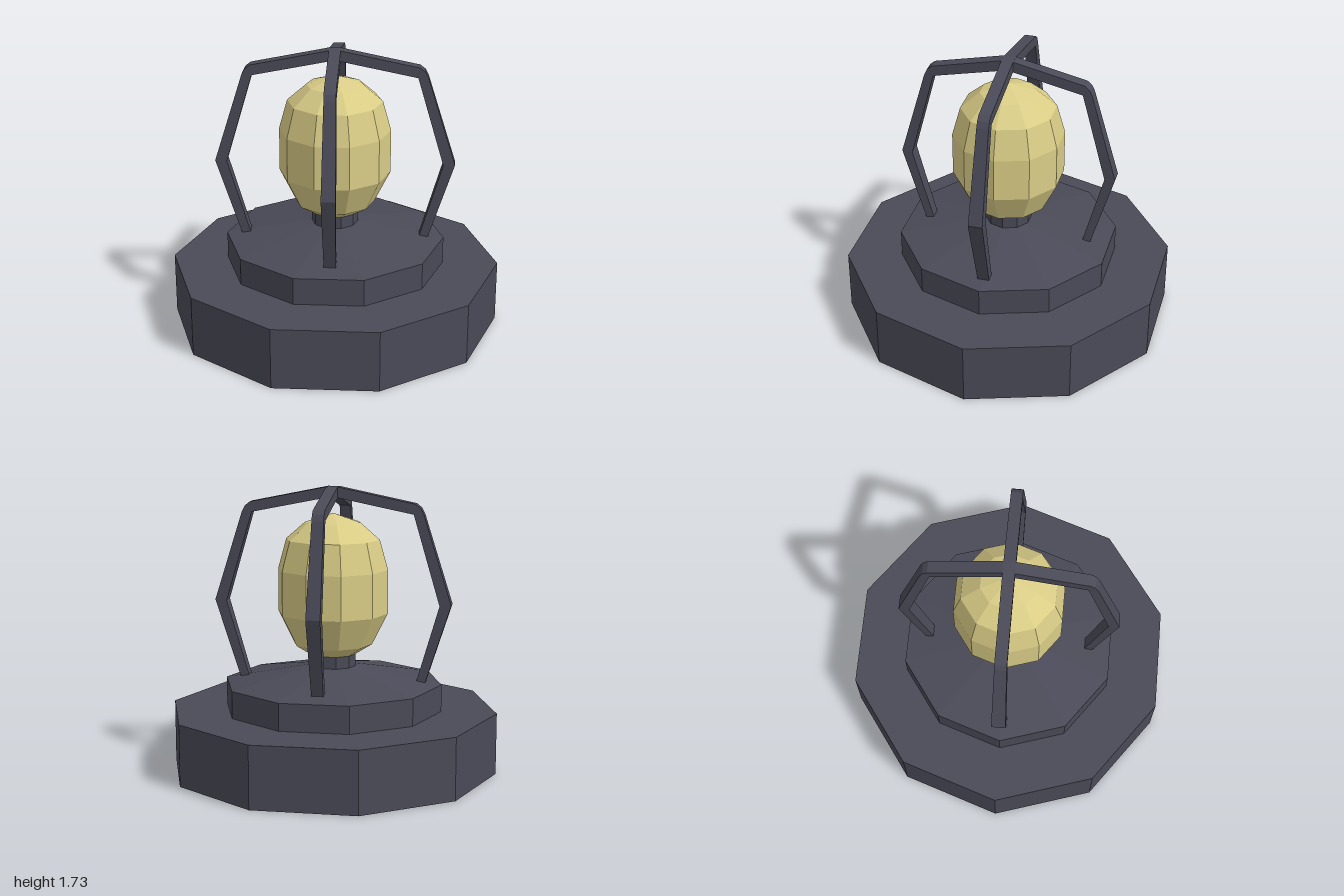
import * as THREE from 'three';

const dark = new THREE.MeshStandardMaterial({ color: 0x4a4a58, flatShading: true });
const yellow = new THREE.MeshStandardMaterial({ color: 0xd9cc86, flatShading: true });

// Ten-sided turned part from [radius, height] pairs, bottom to top, corners on +x and -x
function turned(name, profile, material) {
  const points = profile.map(([r, y]) => new THREE.Vector2(r, y));
  const mesh = new THREE.Mesh(new THREE.LatheGeometry(points, 10, Math.PI / 10), material);
  mesh.name = name;
  return mesh;
}

// Bent flat bar running over the bulb from one side of the base to the other
function cageArch(name) {
  const outer = [[0.565, 0.545], [0.72, 1.03], [0.55, 1.57], [0.532, 1.605], [0.5, 1.63], [0.035, 1.725]];
  const inner = [[0.035, 1.66], [0.49, 1.568], [0.65, 1.025], [0.51, 0.545]];
  const half = [...inner].reverse().slice(0, 3);
  const mirror = (list) => list.map(([x, y]) => [-x, y]);
  const outline = [
    ...outer, ...mirror(outer).reverse(),
    ...mirror(half), ...mirror([inner[0]]), ...inner.slice(0, 4),
  ];
  const shape = new THREE.Shape(outline.map(([x, y]) => new THREE.Vector2(x, y)));
  const geometry = new THREE.ExtrudeGeometry(shape, { depth: 0.07, bevelEnabled: false });
  geometry.translate(0, 0, -0.035);

  // The bar widens at its outermost bend
  const pos = geometry.attributes.position;
  for (let i = 0; i < pos.count; i++) {
    if (Math.abs(pos.getX(i)) > 0.6) pos.setZ(i, pos.getZ(i) * 1.2);
  }
  geometry.computeVertexNormals();
  const mesh = new THREE.Mesh(geometry, dark);
  mesh.name = name;
  return mesh;
}

export function createModel() {
  const model = new THREE.Group();
  model.name = 'cagedLamp';

  // Stepped base and neck
  model.add(turned('base', [[0, 0], [1, 0], [1, 0.375], [0, 0.375]], dark));
  model.add(turned('upperBase', [[0.665, 0.375], [0.665, 0.54], [0.14, 0.64], [0, 0.64]], dark));
  model.add(turned('neck', [[0.14, 0.62], [0.14, 0.715], [0, 0.715]], dark));

  // Faceted bulb
  model.add(turned('bulb', [
    [0, 0.713], [0.14, 0.713], [0.24, 0.775], [0.335, 0.965],
    [0.335, 1.23], [0.285, 1.41], [0.17, 1.51], [0, 1.567],
  ], yellow));

  // Two crossing arches, the front-to-back one slightly narrower
  const cage = new THREE.Group();
  cage.name = 'cage';
  const sideArch = cageArch('sideArch');
  const frontArch = cageArch('frontArch');
  frontArch.scale.x = 0.915;
  frontArch.rotation.y = Math.PI / 2;
  cage.add(sideArch, frontArch);
  model.add(cage);

  return model;
}
